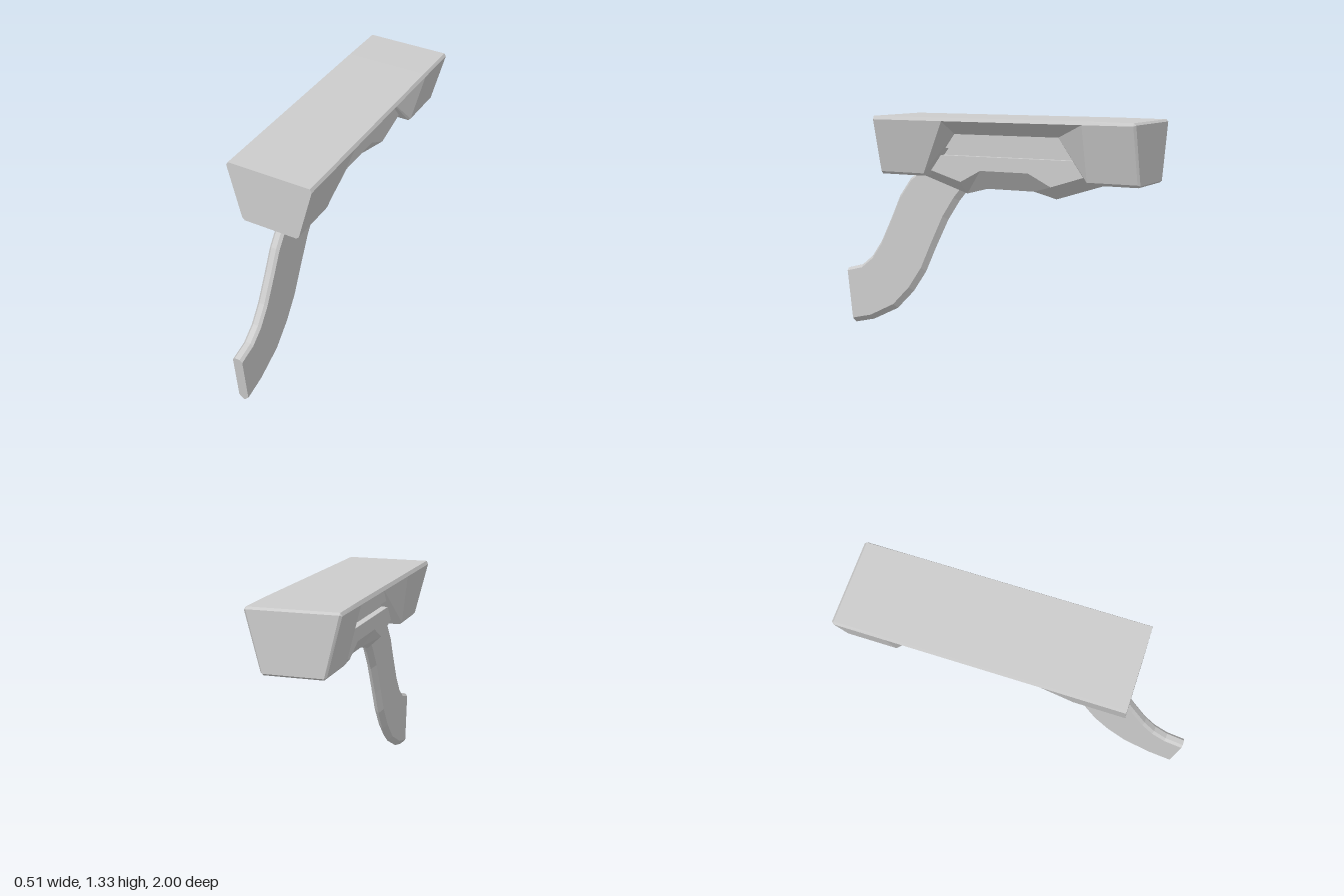
import * as THREE from 'three';
import { ConvexGeometry } from 'three/addons/geometries/ConvexGeometry.js';

const material = new THREE.MeshStandardMaterial({ color: 0xcccccc, flatShading: true });

function add(group, name, geometry) {
  const mesh = new THREE.Mesh(geometry, material);
  mesh.name = name;
  group.add(mesh);
}

// Convex block from right-half points, mirrored across x
function block(points) {
  return new ConvexGeometry(points.flatMap(([x, y, z]) =>
    [new THREE.Vector3(x, y, z), new THREE.Vector3(-x, y, z)]));
}

// Skin over rings ordered from front to back, each counter-clockwise seen from the front
function loft(rings) {
  const n = rings[0].length;
  const index = [];
  for (let s = 0; s < rings.length - 1; s++) {
    for (let i = 0; i < n; i++) {
      const j = (i + 1) % n;
      const a = s * n + i, b = s * n + j, c = b + n, d = a + n;
      index.push(a, c, b, a, d, c);
    }
  }
  for (let i = 1; i < n - 1; i++) index.push(0, i, i + 1);
  const geometry = new THREE.BufferGeometry();
  geometry.setAttribute('position', new THREE.Float32BufferAttribute(rings.flat(2), 3));
  geometry.setIndex(index);
  const flat = geometry.toNonIndexed();
  flat.computeVertexNormals();
  return flat;
}

export function createModel() {
  const group = new THREE.Group();

  // Tapered housing section, top to bottom
  const profile = [[0.245, 1.33], [0.255, 1.31], [0.175, 1.0], [0.16, 0.985]];

  // Front block with a slanted wall into the side recess
  const frontWall = [0.16, 0.16, 0.33, 0.34];
  add(group, 'frontHousing', block([
    ...profile.map(([x, y]) => [x, y, 0.625]),
    ...profile.map(([x, y], i) => [x, y, frontWall[i]]),
    [0.11, 1.23, 0.16], [0.11, 0.985, 0.34],
  ]));

  // Rear block with bevelled back edges and an angled recess wall
  add(group, 'rearHousing', block([
    ...profile.map(([x, y]) => [x, y, -0.7]),
    ...profile.map(([x, y]) => [x, y - (y > 1.32 ? 0.003 : 0), -0.988]),
    [0.243, 1.315, -1], [0.163, 0.995, -1],
    [0.11, 1.23, -0.5], [0.11, 0.985, -0.7],
  ]));

  // Roof over the side recesses
  add(group, 'roof', block([
    [0.245, 1.33, 0.16], [0.255, 1.31, 0.16], [0.11, 1.23, 0.16],
    [0.245, 1.33, -0.7], [0.255, 1.31, -0.7], [0.11, 1.23, -0.5],
  ]));

  // Grooved core with a chamfered, stepped underside: [z, bottom y, chamfer top y]
  const stations = [
    [0.5, 1.0, 1.067], [0.12, 0.88, 0.955], [-0.01, 0.915, 1.025],
    [-0.315, 0.915, 1.025], [-0.455, 0.88, 0.955], [-0.85, 1.005, 1.08],
  ];
  add(group, 'groovedCore', loft(stations.map(([z, bottom, edge]) => {
    const half = [
      [0.03, bottom], [0.11, edge], [0.11, 1.105], [0.07, 1.105],
      [0.07, 1.147], [0.11, 1.147], [0.11, 1.235],
    ];
    return [
      ...half.map(([x, y]) => [x, y, z]),
      ...half.reverse().map(([x, y]) => [-x, y, z]),
    ];
  })));

  // Curved thin grip, keel-shaped below: [upper z, upper y, lower z, lower y]
  const grip = [
    [1.0, 0.355, 0.96, 0.005], [0.89, 0.385, 0.82, 0.04],
    [0.81, 0.45, 0.64, 0.13], [0.74, 0.55, 0.52, 0.25],
    [0.66, 0.71, 0.43, 0.38], [0.6, 0.84, 0.36, 0.53],
    [0.52, 0.95, 0.27, 0.71], [0.45, 1.0, 0.19, 0.83],
    [0.36, 1.05, 0.13, 0.9],
  ];
  add(group, 'curvedGrip', loft(grip.map(([uz, uy, lz, ly]) => {
    const length = Math.hypot(uz - lz, uy - ly);
    const at = (x, d) => [x, ly + (uy - ly) * d / length, lz + (uz - lz) * d / length];
    return [
      at(0, 0), at(0.03, 0.032), at(0.03, length - 0.016), at(0.015, length),
      at(-0.015, length), at(-0.03, length - 0.016), at(-0.03, 0.032),
    ];
  })));

  return group;
}
